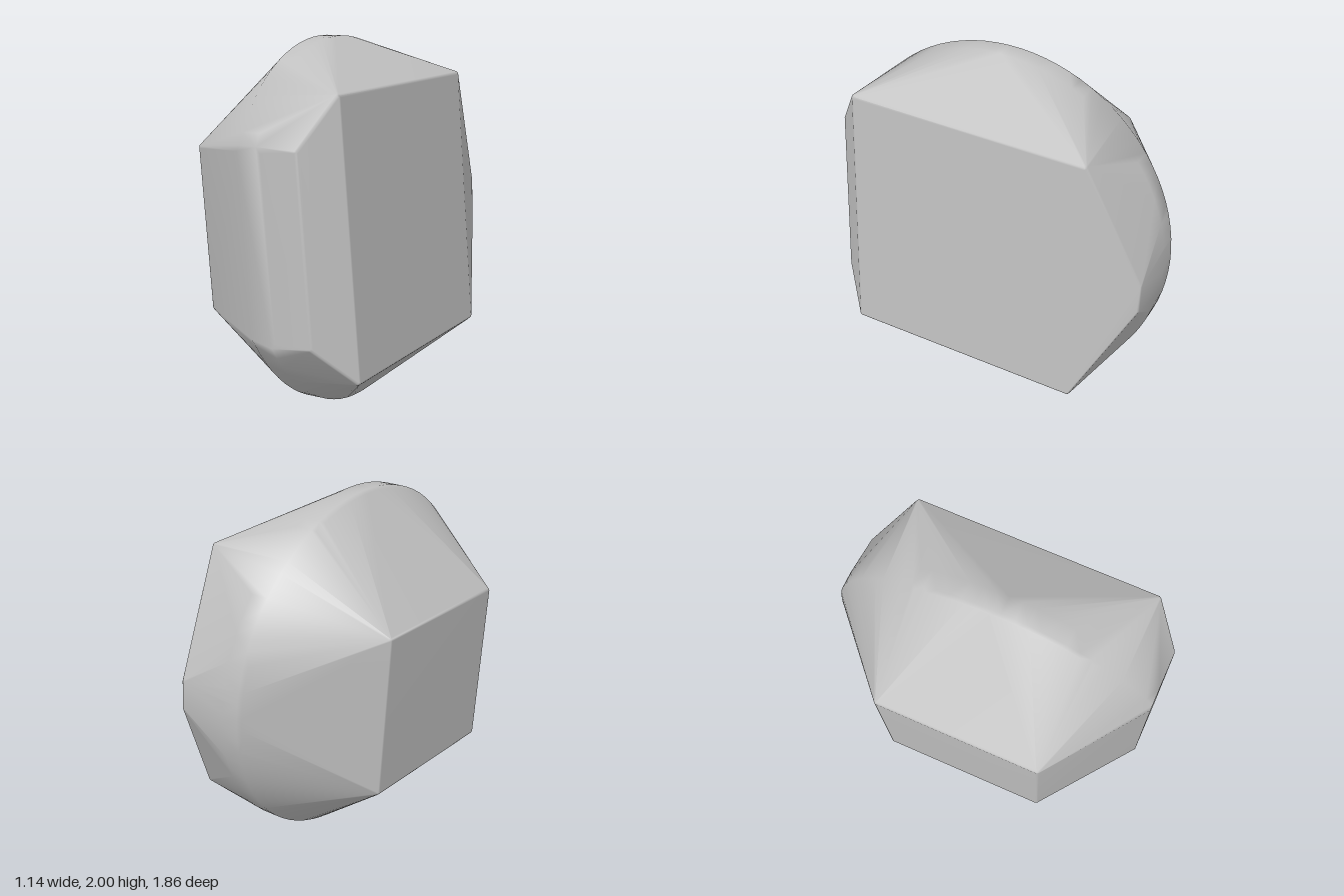
import * as THREE from 'three';
import { ConvexGeometry } from 'three/addons/geometries/ConvexGeometry.js';
import { mergeVertices } from 'three/addons/utils/BufferGeometryUtils.js';

const TILT = 0.08;      // the whole body leans: x shifts as y rises
const FRONT = 0.93;     // flat cut across the front
const CENTRE = new THREE.Vector3(0.07, 1, 0.07);

// Small ball of points so that each hull corner gets a narrow bevel
function corner(points, x, y, z, r = 0.02) {
  const ball = new THREE.IcosahedronGeometry(r, 1).attributes.position;
  const centre = new THREE.Vector3(x, y, z);
  for (let i = 0; i < ball.count; i++) {
    points.push(new THREE.Vector3().fromBufferAttribute(ball, i).add(centre));
  }
}

// Ring of the middle disc, cut off at the front plane
function ring(points, offset, radius) {
  const cut = Math.acos((FRONT - CENTRE.z) / radius);
  const steps = 72;
  for (let i = 0; i <= steps; i++) {
    const a = cut + (i / steps) * (Math.PI * 2 - cut * 2);
    const y = Math.sin(a) * radius;
    points.push(new THREE.Vector3(CENTRE.x + offset - TILT * y, CENTRE.y + y, CENTRE.z + Math.cos(a) * radius));
  }
}

export function createModel() {
  const group = new THREE.Group();
  group.name = 'facetedStone';
  const grey = new THREE.MeshStandardMaterial({ color: 0xc0c0c0 });
  grey.name = 'stoneGrey';

  const points = [];
  // Thin round middle with a softened rim
  for (const [offset, radius] of [[-0.07, 0.985], [-0.05, 1], [0.05, 1], [0.07, 0.985]]) {
    ring(points, offset, radius);
  }
  // Large rectangular face on the left
  for (const z of [0.745, -0.595]) {
    corner(points, 0.432, 1.755, z);
    corner(points, 0.55, 0.33, z);
  }
  // Small rectangular face on the right
  for (const z of [0.515, -0.395]) {
    corner(points, -0.55, 1.405, z);
    corner(points, -0.48, 0.51, z);
  }
  // Ends of the front face and of the narrow back edge
  corner(points, 0.3, 1.495, FRONT - 0.02);
  corner(points, 0.38, 0.52, FRONT - 0.02);
  corner(points, 0.395, 1.1, -0.905);
  corner(points, 0.405, 0.94, -0.905);

  // Shared vertices give smooth shading over the whole skin
  let geometry = new ConvexGeometry(points);
  geometry.deleteAttribute('normal');
  geometry = mergeVertices(geometry, 1e-4);
  geometry.computeVertexNormals();

  const stone = new THREE.Mesh(geometry, grey);
  stone.name = 'stone';
  group.add(stone);
  return group;
}
